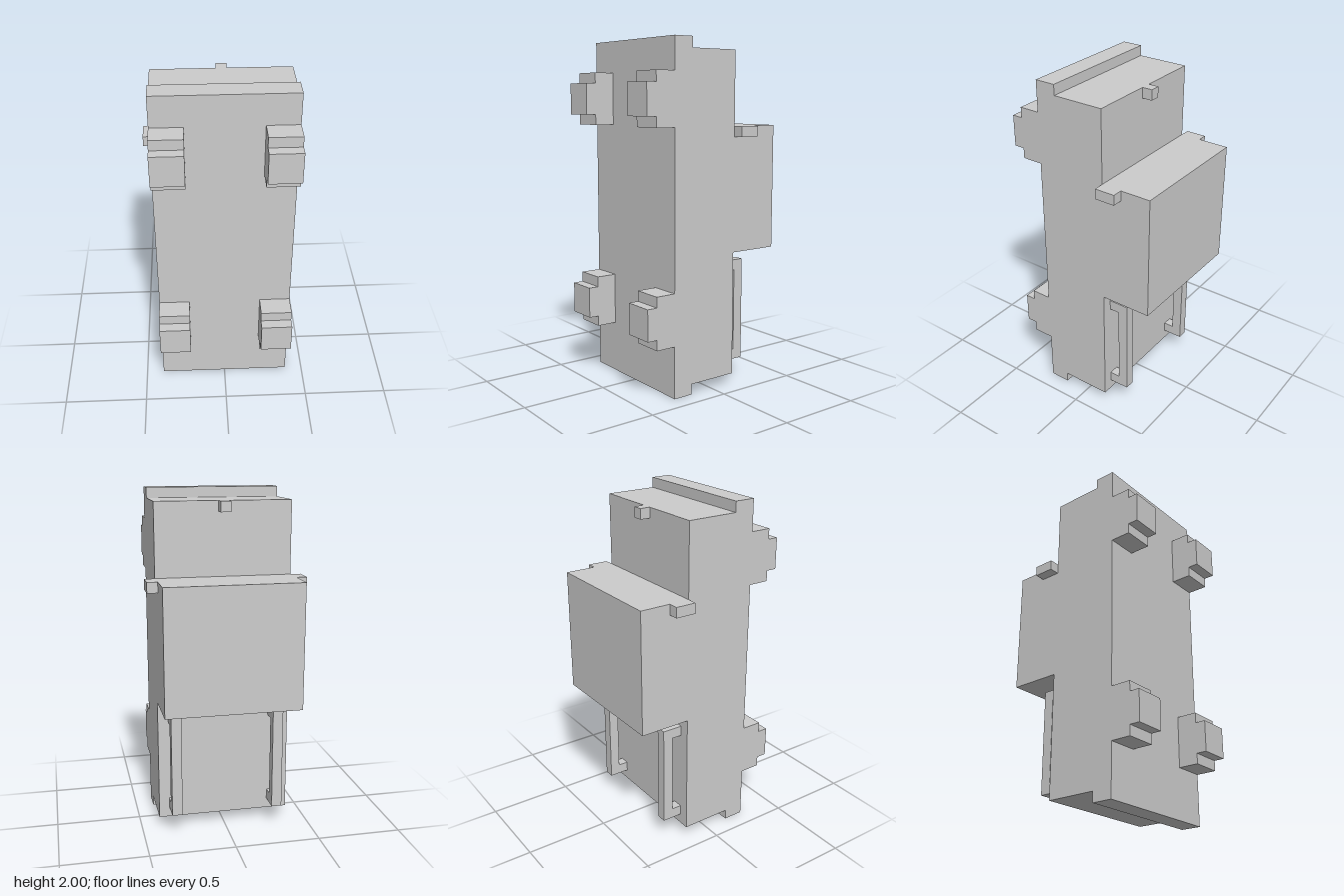
import * as THREE from 'three';

const U = 2 / 33; // grid module shared by all parts
const material = new THREE.MeshStandardMaterial({ color: 0xcccccc, flatShading: true });

// Extrudes a side profile of [z, y] points (in modules) across x0..x1
function profile(name, points, x0, x1) {
  const shape = new THREE.Shape(points.map(([z, y]) => new THREE.Vector2(-z * U, y * U)));
  const geometry = new THREE.ExtrudeGeometry(shape, { depth: (x1 - x0) * U, bevelEnabled: false });
  geometry.translate(0, 0, x0 * U).rotateY(Math.PI / 2);
  const mesh = new THREE.Mesh(geometry, material);
  mesh.name = name;
  return mesh;
}

export function createModel() {
  const model = new THREE.Group();

  // Main casing: front plate with lips, body and rear box
  model.add(profile('casing', [
    [4.5, 0], [4.5, 33], [2.5, 33], [2.5, 32], [-2.5, 32], [-2.5, 25],
    [-7.5, 25], [-7.5, 13], [-2.5, 13], [-2.5, 1], [2.5, 1], [2.5, 0],
  ], -6.5, 6.5));

  // Small hook at the top of the back
  model.add(profile('topHook', [[-2.5, 31], [-2.5, 32], [-3.5, 32], [-3.5, 31]], -0.5, 0.5));

  for (const side of [-1, 1]) {
    const label = side > 0 ? 'left' : 'right';
    const add = (name, points, inner, outer) => model.add(
      profile(label + name, points, Math.min(side * inner, side * outer), Math.max(side * inner, side * outer)));

    // Stepped feet on the front
    for (const [place, y] of [['Lower', 5], ['Upper', 25]]) {
      add(place + 'Foot', [
        [4.5, y], [6.5, y], [6.5, y + 1], [7.5, y + 1],
        [7.5, y + 4], [6.5, y + 4], [6.5, y + 5], [4.5, y + 5],
      ], 3.5, 6.5);
    }

    // Tab on the flank of the rear box
    add('SideTab', [[-2.5, 24], [-2.5, 25], [-4.5, 25], [-4.5, 24]], 6.5, 7.5);

    // Bracket-shaped handle on the lower back
    add('Handle', [
      [-2.5, 2], [-4.5, 2], [-4.5, 12], [-2.5, 12],
      [-2.5, 11], [-3.5, 11], [-3.5, 3], [-2.5, 3],
    ], 4.5, 5.5);
  }
  return model;
}
